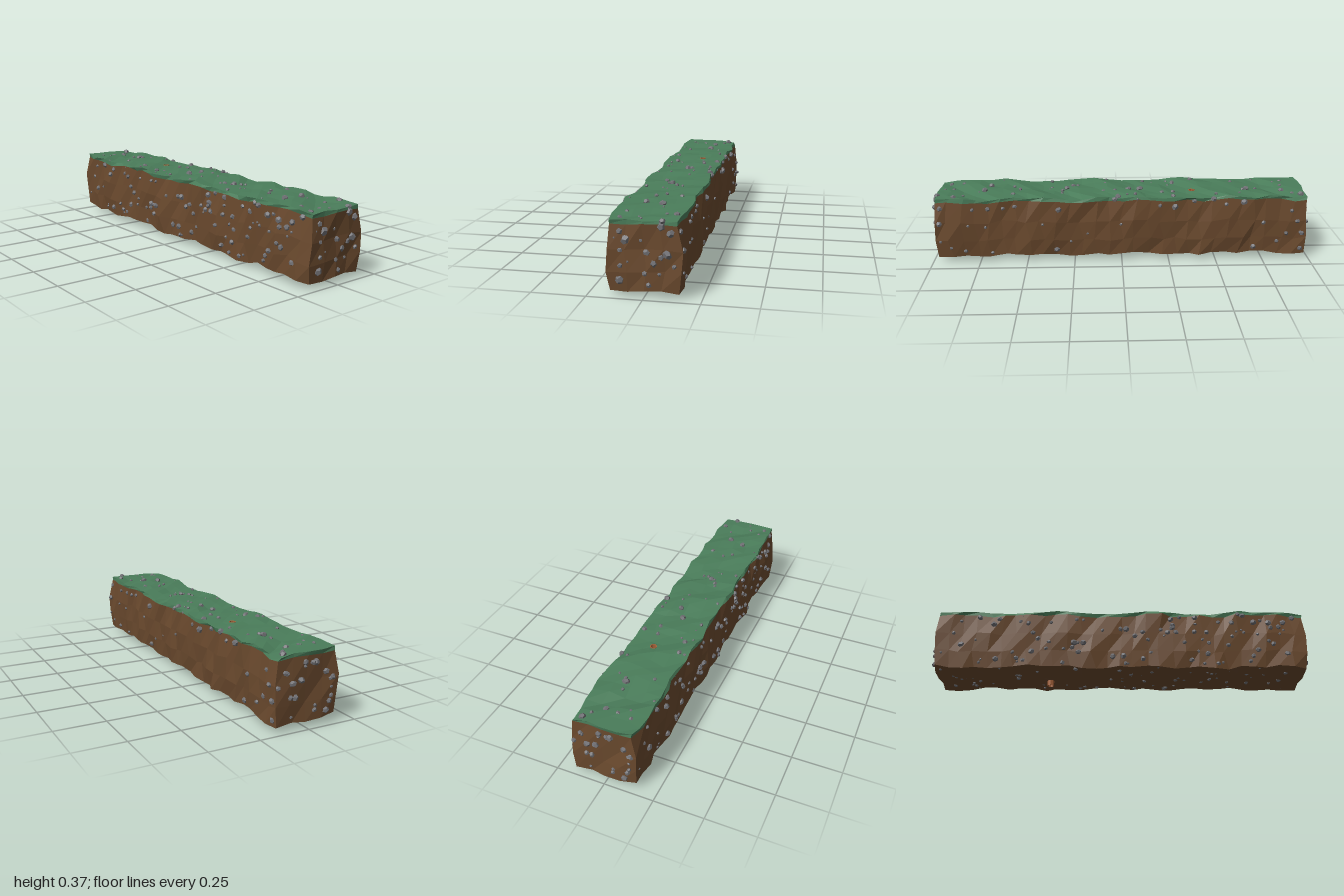
import * as THREE from 'three';
import { mergeGeometries } from 'three/addons/utils/BufferGeometryUtils.js';

const HALF_W = 0.155, HALF_L = 0.975;
const LEVELS = [0.03, 0.12, 0.22, 0.33, 0.347]; // heights of the rows; the last row is turf
const HOLE = { x: 0.032, z: -0.377, r: 0.018 };
const CELL = { x0: 0, x1: HALF_W / 2, z0: -HALF_L + 8 * HALF_L / 14, z1: -HALF_L + 9 * HALF_L / 14 };

let seed = 7;
const rand = () => {
  seed = (seed * 16807) % 2147483647;
  return seed / 2147483647;
};
const between = (a, b) => a + (b - a) * rand();

// Smooth unevenness of the ground block
function warp(p) {
  const { x, y, z } = p;
  const side = x / HALF_W;
  const bulge = 0.008 * side * Math.sin(Math.PI * (y - 0.03) / 0.317);
  return new THREE.Vector3(
    x + bulge + 0.006 * Math.sin(13 * z + 9 * y + 6 * x) + 0.005 * Math.sin(29 * z - 17 * y + 11 * x),
    y + 0.006 * Math.sin(11 * z + 8 * x + 1) + 0.005 * Math.sin(27 * z + 21 * x + 2 * y),
    z + 0.005 * Math.sin(23 * x + 19 * y + z)
  );
}

// Small jitter per corner, equal for corners that share a place
function jitter(p) {
  const h = (k) => {
    const s = Math.sin(p.x * 127.1 + p.y * 311.7 + p.z * 74.7 + k * 19.3) * 43758.5453;
    return s - Math.floor(s) - 0.5;
  };
  return new THREE.Vector3(h(1) * 0.012, h(2) * 0.01, h(3) * (Math.abs(p.z) > 0.97 ? 0.008 : 0.03));
}

function ground(p) {
  const q = warp(p);
  const nearHole = Math.abs(p.z - HOLE.z) < 0.06 && p.x > -0.01 && p.x < 0.09;
  return nearHole ? q : q.add(jitter(p));
}

const round = (v) => Math.round(v * 1e4) / 1e4;
const corner = (x, y, z) => ground(new THREE.Vector3(round(x), y, round(z)));

// Point in the cell around the hole, u and v from -1 to 1
function cellPoint(u, v, y) {
  const a = corner(CELL.x0, y, CELL.z0).lerp(corner(CELL.x1, y, CELL.z0), (u + 1) / 2);
  const b = corner(CELL.x0, y, CELL.z1).lerp(corner(CELL.x1, y, CELL.z1), (u + 1) / 2);
  return a.lerp(b, (v + 1) / 2);
}

// Facets between the square cell and the round hole
function holeRing(y, up, out) {
  const mid = cellPoint(0, 0, y).y;
  const pair = (i) => {
    const a = i * Math.PI / 4, c = Math.cos(a), s = Math.sin(a);
    const m = Math.max(Math.abs(c), Math.abs(s));
    return [cellPoint(c / m, s / m, y), new THREE.Vector3(HOLE.x + HOLE.r * c, mid, HOLE.z + HOLE.r * s)];
  };
  for (let i = 0; i < 8; i++) {
    const [o, n] = pair(i), [o2, n2] = pair(i + 1);
    out.push(...(up ? [o, n, n2, o, n2, o2] : [o, n2, n, o, o2, n2]));
  }
}

function facetMesh(points, color, name) {
  const geo = new THREE.BufferGeometry().setFromPoints(points);
  geo.computeVertexNormals();
  const mesh = new THREE.Mesh(geo, new THREE.MeshStandardMaterial({ color, flatShading: true }));
  mesh.name = name;
  return mesh;
}

// Ground block, split into soil and turf
function buildGround(group) {
  const box = new THREE.BoxGeometry(2 * HALF_W, 4, 2 * HALF_L, 4, 4, 28).toNonIndexed();
  const pos = box.attributes.position;
  const soil = [], turf = [];
  for (let i = 0; i < pos.count; i += 3) {
    const tri = [0, 1, 2].map((k) => new THREE.Vector3(
      round(pos.getX(i + k)), LEVELS[Math.round(pos.getY(i + k) + 2)], round(pos.getZ(i + k))));
    const mid = tri[0].clone().add(tri[1]).add(tri[2]).divideScalar(3);
    const level = tri[0].y === tri[1].y && tri[1].y === tri[2].y;
    const inCell = mid.x > CELL.x0 && mid.x < CELL.x1 && mid.z > CELL.z0 && mid.z < CELL.z1;
    if (level && inCell) continue;
    (tri.every((p) => p.y >= LEVELS[3]) ? turf : soil).push(...tri.map(ground));
  }
  holeRing(LEVELS[4], true, turf);
  holeRing(LEVELS[0], false, soil);
  group.add(facetMesh(soil, 0x6b4a2e, 'soil'), facetMesh(turf, 0x4a7d5a, 'turf'));
}

// Open pipe through the hole
function buildPipe(group) {
  const top = cellPoint(0, 0, LEVELS[4]).y + 0.002;
  const profile = [[HOLE.r, 0], [HOLE.r, top], [0.014, top], [0.014, 0], [HOLE.r, 0]];
  const pipe = new THREE.Mesh(
    new THREE.LatheGeometry(profile.map(([r, y]) => new THREE.Vector2(r, y)), 8),
    new THREE.MeshStandardMaterial({ color: 0xa5633a, flatShading: true, side: THREE.DoubleSide }));
  pipe.position.set(HOLE.x, 0, HOLE.z);
  pipe.name = 'holePipe';
  group.add(pipe);
}

// Stones on the front: x, y, radius
const FRONT = [
  [-0.105, 0.3, 0.018], [-0.075, 0.262, 0.025], [-0.125, 0.273, 0.007], [-0.01, 0.257, 0.01],
  [-0.097, 0.22, 0.013], [0.01, 0.204, 0.017], [0.093, 0.204, 0.023], [0.066, 0.188, 0.018],
  [0.036, 0.155, 0.021], [-0.097, 0.15, 0.014], [-0.067, 0.166, 0.007], [0.118, 0.152, 0.011],
  [-0.005, 0.112, 0.012], [0.055, 0.109, 0.01], [-0.105, 0.087, 0.024], [0.015, 0.06, 0.014],
  [0.12, 0.297, 0.019], [0.085, 0.325, 0.024]];
// Stones on the left side: z, y
const LEFT = [
  [0.95, 0.3], [0.95, 0.22], [0.95, 0.12], [0.9, 0.08], [0.83, 0.06], [0.8, 0.21], [0.78, 0.3], [0.7, 0.3],
  [0.71, 0.2], [0.69, 0.05], [0.62, 0.29], [0.56, 0.3], [0.41, 0.2], [0.33, 0.29], [0.35, 0.06], [0.27, 0.12],
  [0.18, 0.15], [0.04, 0.34], [0, 0.2], [-0.08, 0.33], [-0.2, 0.31], [-0.28, 0.3], [-0.38, 0.33], [-0.48, 0.34],
  [-0.55, 0.3], [-0.64, 0.32], [-0.7, 0.06], [-0.75, 0.2], [-0.82, 0.1], [-0.87, 0.15], [-0.9, 0.28],
  [-0.93, 0.22], [-0.95, 0.15], [-0.95, 0.06]];
// Stones on the turf: x, z
const TOP = [
  [-0.07, -0.83], [-0.02, -0.86], [0.04, -0.86], [0.12, -0.95], [0.03, -0.72], [0.03, -0.67], [0.08, -0.63],
  [-0.11, -0.38], [-0.09, -0.28], [-0.06, -0.25], [0.06, -0.28], [0.06, -0.22], [0.13, -0.27], [0.12, -0.5],
  [-0.13, -0.12], [-0.01, -0.1], [0.03, -0.04], [0.05, 0.03], [0.12, -0.03], [0.14, 0.02], [-0.05, 0.26],
  [-0.02, 0.29], [0.01, 0.31], [0.04, 0.31], [-0.13, 0.38], [0.1, 0.57], [-0.02, 0.57], [-0.05, 0.7],
  [0.03, 0.72], [-0.1, 0.86], [0.12, 0.88], [-0.02, 0.94], [0.09, 0.97], [-0.12, 0.93]];

function buildStones(group) {
  const parts = [];
  const stone = (x, y, z, r = between(0.007, 0.019)) => {
    const geo = new THREE.DodecahedronGeometry(r);
    geo.scale(between(0.9, 1.15), between(0.75, 0.95), between(0.85, 1.05));
    geo.rotateX(between(0, 6)).rotateY(between(0, 6)).rotateZ(between(0, 6));
    const p = warp(new THREE.Vector3(x, y, z));
    parts.push(geo.translate(p.x, p.y, p.z));
  };
  const repeat = (n, place) => { for (let i = 0; i < n; i++) place(); };
  const high = LEVELS[4], low = LEVELS[0];

  FRONT.forEach(([x, y, r]) => stone(x, y, HALF_L - r * 0.2, r));
  LEFT.forEach(([z, y]) => stone(HALF_W, y, z));
  TOP.forEach(([x, z]) => stone(x, high, z));
  repeat(24, () => stone(between(-0.14, 0.14), high, between(-0.95, 0.95), between(0.005, 0.011)));
  repeat(95, () => stone(-HALF_W, between(0.05, 0.33), between(-0.95, 0.95)));
  repeat(80, () => stone(between(-0.14, 0.14), low + 0.004, between(-0.95, 0.95), between(0.007, 0.015)));
  repeat(22, () => stone(between(-0.14, 0.14), between(0.05, 0.33), -HALF_L));

  const stones = new THREE.Mesh(mergeGeometries(parts),
    new THREE.MeshStandardMaterial({ color: 0x707074, flatShading: true }));
  stones.name = 'stones';
  group.add(stones);
}

export function createModel() {
  seed = 7;
  const group = new THREE.Group();
  group.name = 'fairwayBlock';
  buildGround(group);
  buildPipe(group);
  buildStones(group);
  return group;
}
